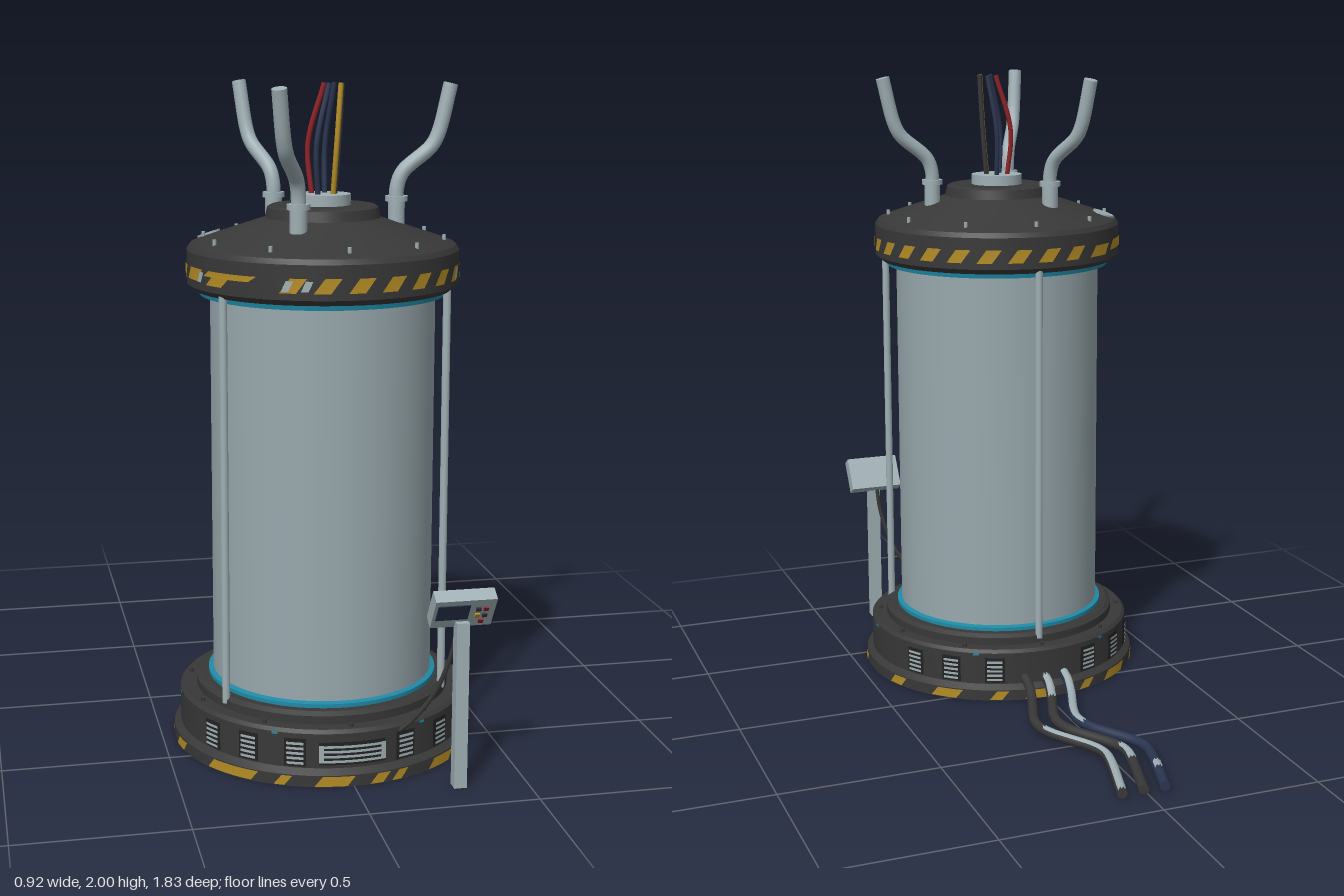
import * as THREE from 'three';
import { toCreasedNormals, mergeGeometries } from 'three/addons/utils/BufferGeometryUtils.js';

const mat = (name, color) => Object.assign(new THREE.MeshStandardMaterial({ color }), { name });
const V = (x, y, z) => new THREE.Vector3(x, y, z);
const rad = THREE.MathUtils.degToRad;

export function createModel() {
  const M = {
    dark: mat('darkMetal', 0x383838),
    black: mat('blackUnderside', 0x222222),
    steel: mat('paleSteel', 0x9fafb4),
    glass: mat('tankGlass', 0x98a8ad),
    yellow: mat('hazardYellow', 0xb48c24),
    teal: mat('tealSeal', 0x1f8aa6),
    navy: mat('navyBlue', 0x2b3550),
    red: mat('signalRed', 0x8e2226),
  };
  const root = new THREE.Group();
  const tank = new THREE.Group(); // round body, angles run from +z towards +x
  tank.name = 'tank';
  tank.position.z = 0.35;
  root.add(tank);

  const add = (parent, name, geo, material, x = 0, y = 0, z = 0) => {
    const m = new THREE.Mesh(geo, material);
    m.name = name;
    m.position.set(x, y, z);
    parent.add(m);
    return m;
  };
  const lathe = (name, pts, material) => add(tank, name, toCreasedNormals(
    new THREE.LatheGeometry(pts.map(p => new THREE.Vector2(...p)), 64), 0.5), material);
  // curved plate lying on a cylinder, optionally slanted
  const plate = (r, y0, y1, deg, width, slant = 0) => {
    const h = y1 - y0;
    const g = new THREE.CylinderGeometry(r, r, h, Math.max(2, Math.ceil(width / 4)), 1, true, rad(deg - width / 2), rad(width));
    const p = g.attributes.position;
    for (let i = 0; i < p.count; i++) {
      const a = Math.atan2(p.getX(i), p.getZ(i)) + rad(slant) * Math.sign(p.getY(i));
      p.setXYZ(i, r * Math.sin(a), p.getY(i) + (y0 + y1) / 2, r * Math.cos(a));
    }
    g.computeVertexNormals();
    return g;
  };
  const plates = (name, list, material) => add(tank, name, mergeGeometries(list), material);
  // tube through points with closed ends
  const tube = (parent, name, pts, r, material, seg = 32, sides = 10) => {
    const c = new THREE.CatmullRomCurve3(pts);
    const m = add(parent, name, new THREE.TubeGeometry(c, seg, r, sides), material);
    for (const [t, s] of [[0, -1], [1, 1]]) {
      const end = add(m, name + 'End', new THREE.CircleGeometry(r, sides), material);
      end.position.copy(c.getPoint(t));
      end.quaternion.setFromUnitVectors(V(0, 0, 1), c.getTangent(t).multiplyScalar(s));
    }
    return m;
  };

  // stepped base
  add(tank, 'underside', new THREE.CircleGeometry(0.46, 64).rotateX(Math.PI / 2), M.black);
  lathe('base', [[0.46, 0], [0.46, 0.035], [0.44, 0.05], [0.44, 0.155], [0.43, 0.165], [0.39, 0.165],
    [0.39, 0.19], [0.375, 0.2], [0.3, 0.2]], M.dark);
  plates('baseStripes', [[-47, 20], [-26, 4], [-7, 12], [10, 5], [18, 4], [39, 12], [56, 14], [78, 9], [113, 7], [138, 11],
    [160, 5], [177, 10], [199, 5], [218, 14], [240, 6], [260, 12], [281, 8]]
    .map(([a, w]) => plate(0.463, 0.003, 0.033, a, w, 1.5)), M.yellow);

  // louvred vents with a wide grille at the front
  const backs = [plate(0.442, 0.06, 0.13, 0, 26)], slats = [], ticks = [];
  for (let k = 0; k < 4; k++) slats.push(plate(0.446, 0.068 + k * 0.015, 0.076 + k * 0.015, 0, 24));
  slats.push(plate(0.446, 0.068, 0.122, -12, 2), plate(0.446, 0.068, 0.122, 12, 2));
  for (const a of [22, 41, 59, 121, 139, 158, 202, 221, 239, 258, 301, 319, 338]) {
    backs.push(plate(0.442, 0.055, 0.14, a, 8.5));
    for (let k = 0; k < 5; k++) slats.push(plate(0.446, 0.062 + k * 0.015, 0.07 + k * 0.015, a, 6.5));
  }
  for (let a = 30; a < 360; a += 60) ticks.push(plate(0.442, 0.148, 0.156, a, 2.5));
  plates('ventRecesses', backs, M.black);
  plates('ventSlats', slats, M.steel);
  plates('statusLights', ticks, M.teal);

  // glass cylinder, seals and guard rods
  add(tank, 'glassCylinder', new THREE.CylinderGeometry(0.337, 0.337, 1.22, 64, 1, true), M.glass, 0, 0.8, 0);
  lathe('lowerSeal', [[0.352, 0.195], [0.352, 0.212], [0.337, 0.216]], M.teal);
  lathe('upperSeal', [[0.337, 1.382], [0.368, 1.382], [0.372, 1.402]], M.teal);
  for (const a of [60, 180, 300])
    add(tank, 'guardRod', new THREE.CylinderGeometry(0.012, 0.012, 1.24, 12), M.steel,
      0.383 * Math.sin(rad(a)), 0.8, 0.383 * Math.cos(rad(a)));

  // domed cap with hazard band
  lathe('cap', [[0.335, 1.4], [0.385, 1.398], [0.405, 1.415], [0.405, 1.515], [0.395, 1.53], [0.37, 1.54],
    [0.18, 1.603], [0.172, 1.607], [0.165, 1.637], [0.155, 1.643], [0, 1.643]], M.dark);
  const stripes = [], chips = [];
  for (let i = 0; i < 26; i++) {
    const a = 4 + i * 360 / 26;
    if (a < 205 || a > 325) stripes.push(plate(0.408, 1.435, 1.477, a, 6.8, 2.2));
  }
  for (const [a, w, y0, y1] of [[215, 12, 1.435, 1.47], [236, 20, 1.445, 1.477], [262, 16, 1.435, 1.477],
    [282, 12, 1.44, 1.477], [306, 26, 1.46, 1.477], [300, 10, 1.435, 1.46]]) stripes.push(plate(0.408, y0, y1, a, w, 2));
  for (const a of [342, 334, 289, 60]) chips.push(plate(0.41, 1.44, 1.47, a, 3, 1));
  plates('capStripes', stripes, M.yellow);
  plates('paintChips', chips, M.steel);

  // bare patch on the cap slope
  const patch = add(tank, 'barePatch', new THREE.CylinderGeometry(0.037, 0.037, 0.006, 9), M.steel, -0.32, 1.547, -0.155);
  patch.quaternion.setFromUnitVectors(V(0, 1, 0), V(-0.29, 0.95, -0.14).normalize());

  // bolts around cap and base
  for (let i = 0; i < 10; i++) {
    const a = rad(i * 36), s = Math.sin(a), c = Math.cos(a);
    add(tank, 'capBolt', new THREE.CylinderGeometry(0.006, 0.006, 0.025, 6), M.steel, 0.36 * s, 1.546, 0.36 * c);
    add(tank, 'baseBolt', new THREE.CylinderGeometry(0.007, 0.007, 0.014, 6), M.dark, 0.412 * s, 0.169, 0.412 * c);
  }

  // three bent pipes
  for (let i = 0; i < 3; i++) {
    const g = new THREE.Group();
    g.name = 'pipeAssembly';
    g.rotation.y = rad(i * 120);
    tank.add(g);
    add(g, 'pipeFoot', new THREE.CylinderGeometry(0.026, 0.026, 0.075, 12), M.steel, 0.225, 1.618, 0);
    add(g, 'pipeCollar', new THREE.CylinderGeometry(0.034, 0.034, 0.016, 16), M.steel, 0.225, 1.657, 0);
    tube(g, 'bentPipe', [V(0.225, 1.62, 0), V(0.226, 1.69, 0), V(0.243, 1.735, 0), V(0.33, 1.81, 0),
      V(0.352, 1.85, 0), V(0.388, 1.995, 0)], 0.022, M.steel, 40, 14);
  }

  // hub and loose wires
  add(tank, 'wireHub', new THREE.CylinderGeometry(0.083, 0.083, 0.035, 32), M.steel, 0, 1.658, 0);
  [[M.red, 235], [M.navy, 160], [M.dark, 90], [M.yellow, 45], [M.navy, 325]].forEach(([m, a]) => {
    const s = Math.sin(rad(a)), c = Math.cos(rad(a));
    tube(tank, 'wire', [V(0.036 * s, 1.67, 0.036 * c), V(0.048 * s, 1.82, 0.05 * c),
      V(0.03 + 0.028 * s, 1.998, 0.026 * c)], 0.008, m, 16, 8);
  });

  // floor cables, worn to bare metal along parts of their upper side
  [[-0.068, M.navy, [[-0.42, -0.08], [-0.8, -0.76]]], [0, M.dark, [[-0.2, -0.1], [-0.72, -0.62]]],
    [0.068, M.dark, [[-0.9, -0.42]]]].forEach(([x, m, worn]) => {
    const cable = tube(root, 'floorCable', [V(x, 0.07, -0.07), V(x, 0.055, -0.115), V(x + 0.014, 0.034, -0.18),
      V(x + 0.062, 0.028, -0.32), V(x + 0.07, 0.027, -0.37), V(x + 0.056, 0.027, -0.44), V(x - 0.03, 0.026, -0.59),
      V(x - 0.042, 0.026, -0.64), V(x - 0.034, 0.026, -0.7), V(x + 0.022, 0.026, -0.91)], 0.016, m, 60, 10);
    const g = cable.geometry, p = g.attributes.position, n = g.attributes.normal, sets = [[], []];
    for (let i = 0; i < g.index.count; i += 3) {
      const t = [0, 1, 2].map(k => g.index.getX(i + k));
      const up = t.every(k => n.getY(k) > 0.1), z = p.getZ(t[0]);
      sets[up && worn.some(([a, b]) => z > a && z < b) ? 1 : 0].push(...t);
    }
    g.setIndex(sets.flat());
    g.addGroup(0, sets[0].length, 0);
    g.addGroup(sets[0].length, sets[1].length, 1);
    cable.material = [m, M.steel];
  });

  // control panel on a post
  add(root, 'panelPost', new THREE.BoxGeometry(0.038, 0.5, 0.038), M.steel, 0.298, 0.25, 0.866);
  const panel = new THREE.Group();
  panel.name = 'controlPanel';
  panel.position.set(0.298, 0.541, 0.866);
  panel.rotation.x = 0.588;
  root.add(panel);
  add(panel, 'panelBox', new THREE.BoxGeometry(0.18, 0.116, 0.042), M.steel);
  add(panel, 'screen', new THREE.BoxGeometry(0.095, 0.062, 0.004), M.navy, -0.033, 0.008, 0.022);
  [[0.04, 0.02, M.dark], [0.062, 0.02, M.red], [0.04, -0.008, M.yellow], [0.062, -0.008, M.dark], [0.055, -0.034, M.red]]
    .forEach(([x, y, m]) => add(panel, 'button', new THREE.BoxGeometry(0.014, 0.014, 0.008), m, x, y, 0.023));
  tube(root, 'panelCable', [V(0.29, 0.5, 0.85), V(0.28, 0.4, 0.835), V(0.24, 0.27, 0.805),
    V(0.18, 0.175, 0.775), V(0.135, 0.13, 0.755)], 0.007, M.dark, 24, 8);

  return root;
}
